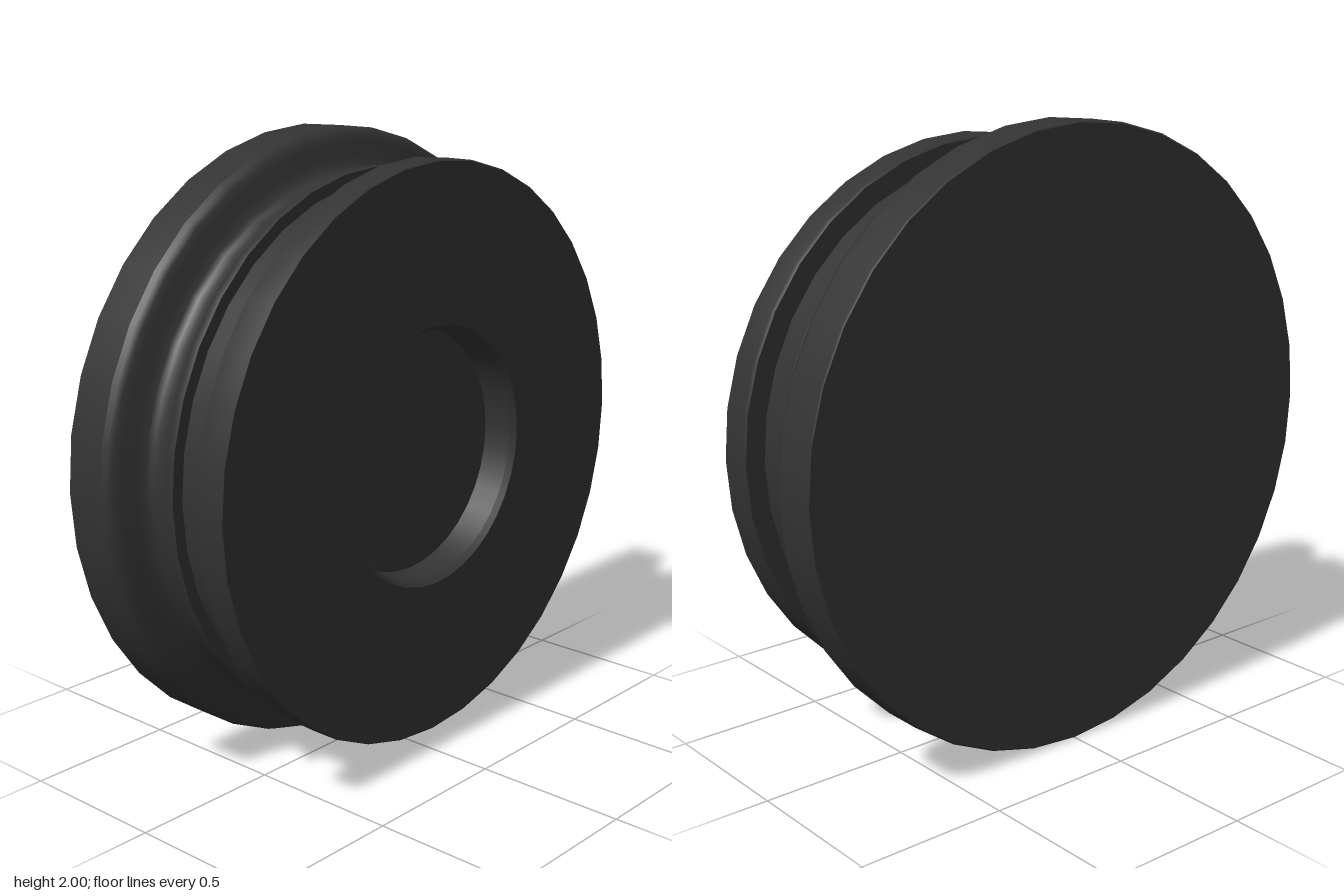
import * as THREE from 'three';

const SIDES = 36;
const material = new THREE.MeshStandardMaterial({ color: 0x333333 });

// Revolves [x, radius] points around the x axis; separate calls keep the edges between them sharp.
function turned(name, points) {
  const profile = points.map(([x, r]) => new THREE.Vector2(r, x));
  const geometry = new THREE.LatheGeometry(profile, SIDES);
  geometry.rotateZ(-Math.PI / 2);
  const mesh = new THREE.Mesh(geometry, material);
  mesh.name = name;
  return mesh;
}

export function createModel() {
  const body = new THREE.Group();
  body.name = 'turnedPlug';

  body.add(
    // Flat closed back and wide flange
    turned('backFace', [[-0.283, 0], [-0.283, 0.995]]),
    turned('flangeRim', [[-0.283, 0.995], [-0.278, 1], [-0.14, 1]]),
    // Rounded shoulder flowing into the hollow groove
    turned('shoulderCurve', [
      [-0.14, 1], [-0.122, 0.994], [-0.108, 0.978], [-0.1, 0.955],
      [-0.089, 0.91], [-0.079, 0.884], [-0.064, 0.869], [-0.035, 0.864],
      [-0.01, 0.869], [0.004, 0.879], [0.016, 0.889], [0.03, 0.892], [0.045, 0.89],
    ]),
    turned('grooveLip', [[0.045, 0.89], [0.045, 0.853]]),
    // Straight neck
    turned('neck', [[0.045, 0.853], [0.175, 0.853]]),
    // Front disc
    turned('discBack', [[0.175, 0.853], [0.175, 0.918]]),
    turned('discRim', [[0.175, 0.918], [0.183, 0.926], [0.279, 0.926], [0.283, 0.922]]),
    turned('frontFace', [[0.283, 0.922], [0.283, 0.42]]),
    // Central recess
    turned('recessChamfer', [[0.283, 0.42], [0.265, 0.406]]),
    turned('recessWall', [[0.265, 0.406], [0.172, 0.395]]),
    turned('recessFloor', [[0.172, 0.395], [0.172, 0]]),
  );

  body.position.y = 1;
  const model = new THREE.Group();
  model.name = 'model';
  model.add(body);
  return model;
}
